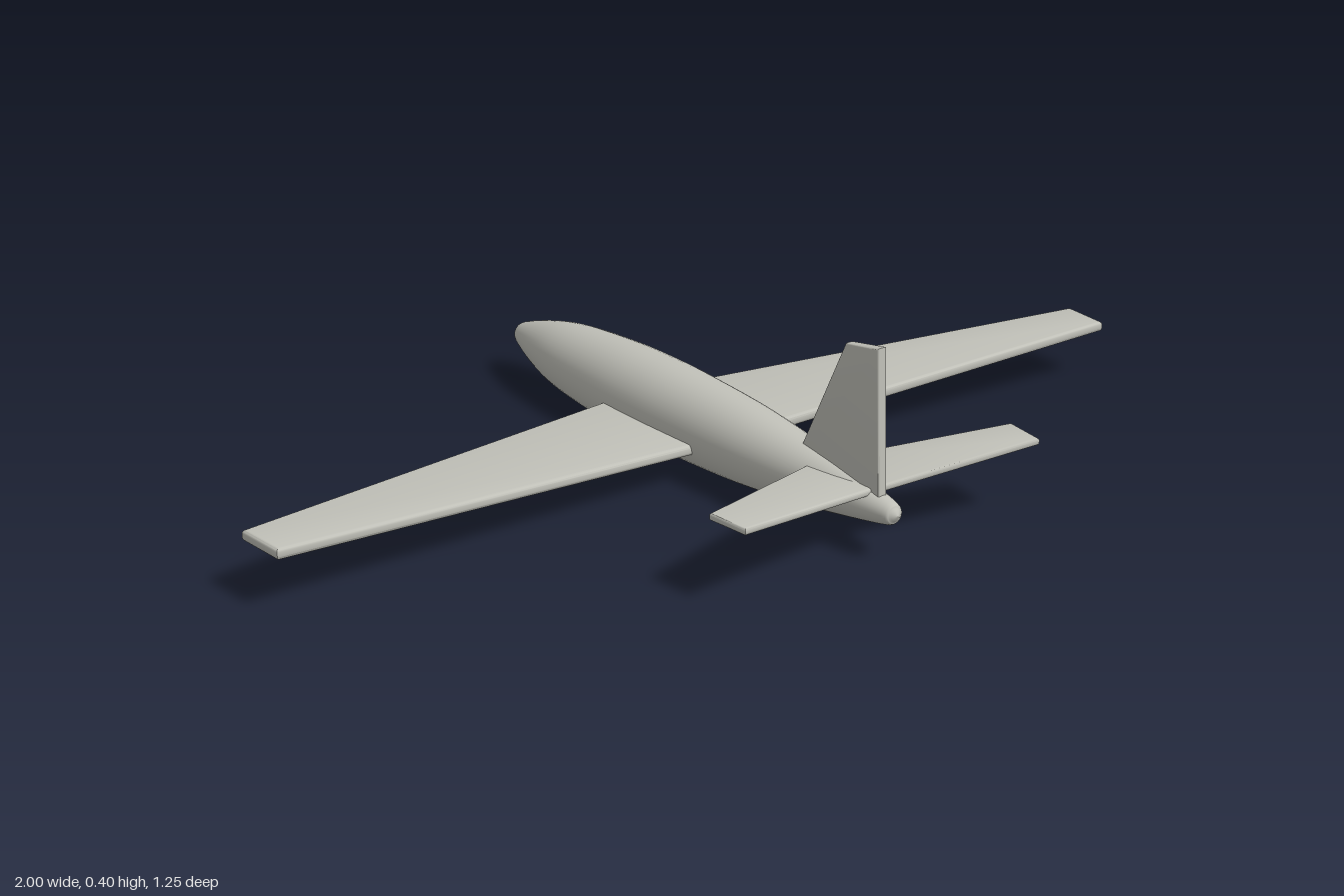
import * as THREE from 'three';
import { toCreasedNormals } from 'three/addons/utils/BufferGeometryUtils.js';

const paint = new THREE.MeshStandardMaterial({ color: 0xc0c0b8 });
paint.name = 'pale grey';

// Plate with rounded edges, centred on its own thickness
function plate(outline, thickness, bevel) {
  const shape = new THREE.Shape(outline.map(([a, b]) => new THREE.Vector2(a, b)));
  const geo = new THREE.ExtrudeGeometry(shape, {
    depth: thickness - 2 * bevel,
    bevelThickness: bevel,
    bevelSize: bevel,
    bevelOffset: -bevel,
    bevelSegments: 3,
  });
  return geo.translate(0, 0, bevel - thickness / 2);
}

// Wing-like panel from an (x, z) outline, raised towards its tip
function panel(name, side, outline, thickness, rootY, slope) {
  const geo = plate(outline.map(([x, z]) => [side * x, z]), thickness, thickness * 0.3);
  geo.rotateX(Math.PI / 2);
  const p = geo.attributes.position;
  for (let i = 0; i < p.count; i++) {
    p.setY(i, p.getY(i) + rootY + slope * Math.abs(p.getX(i)));
  }
  return part(name, geo);
}

function part(name, geometry) {
  const mesh = new THREE.Mesh(toCreasedNormals(geometry, 0.7), paint);
  mesh.name = name;
  return mesh;
}

export function createModel() {
  const model = new THREE.Group();
  model.name = 'glider';

  // Fuselage: slender body of revolution, nose towards -z
  const profile = new THREE.SplineCurve([
    [0, -0.625], [0.014, -0.617], [0.028, -0.598], [0.057, -0.5], [0.075, -0.4],
    [0.087, -0.24], [0.09, -0.12], [0.088, 0], [0.078, 0.2], [0.056, 0.4],
    [0.041, 0.5], [0.023, 0.598], [0.013, 0.614], [0, 0.622],
  ].map(([r, z]) => new THREE.Vector2(r, z)));
  const points = profile.getPoints(60);
  points.forEach((p) => { p.x = Math.max(0, p.x); });
  const body = new THREE.LatheGeometry(points, 40).rotateX(Math.PI / 2);
  const fuselage = new THREE.Mesh(body, paint);
  fuselage.name = 'fuselage';
  fuselage.position.y = 0.091;
  model.add(fuselage);

  // Tapered main wings and tailplanes, mirrored
  const wing = [[0, -0.202], [1, 0.045], [0.989, 0.154], [0, 0.108]];
  const tailplane = [[0, 0.393], [0.356, 0.534], [0.345, 0.621], [0, 0.556]];
  for (const [side, label] of [[1, 'left'], [-1, 'right']]) {
    model.add(panel(label + 'Wing', side, wing, 0.022, 0.067, 0.047));
    model.add(panel(label + 'Tailplane', side, tailplane, 0.014, 0.118, 0.1));
  }

  // Upright tail fin from a (z, y) outline
  const fin = plate([[0.335, 0.1], [0.58, 0.1], [0.567, 0.396], [0.477, 0.381]], 0.02, 0.004);
  model.add(part('tailFin', fin.rotateY(-Math.PI / 2)));

  return model;
}
